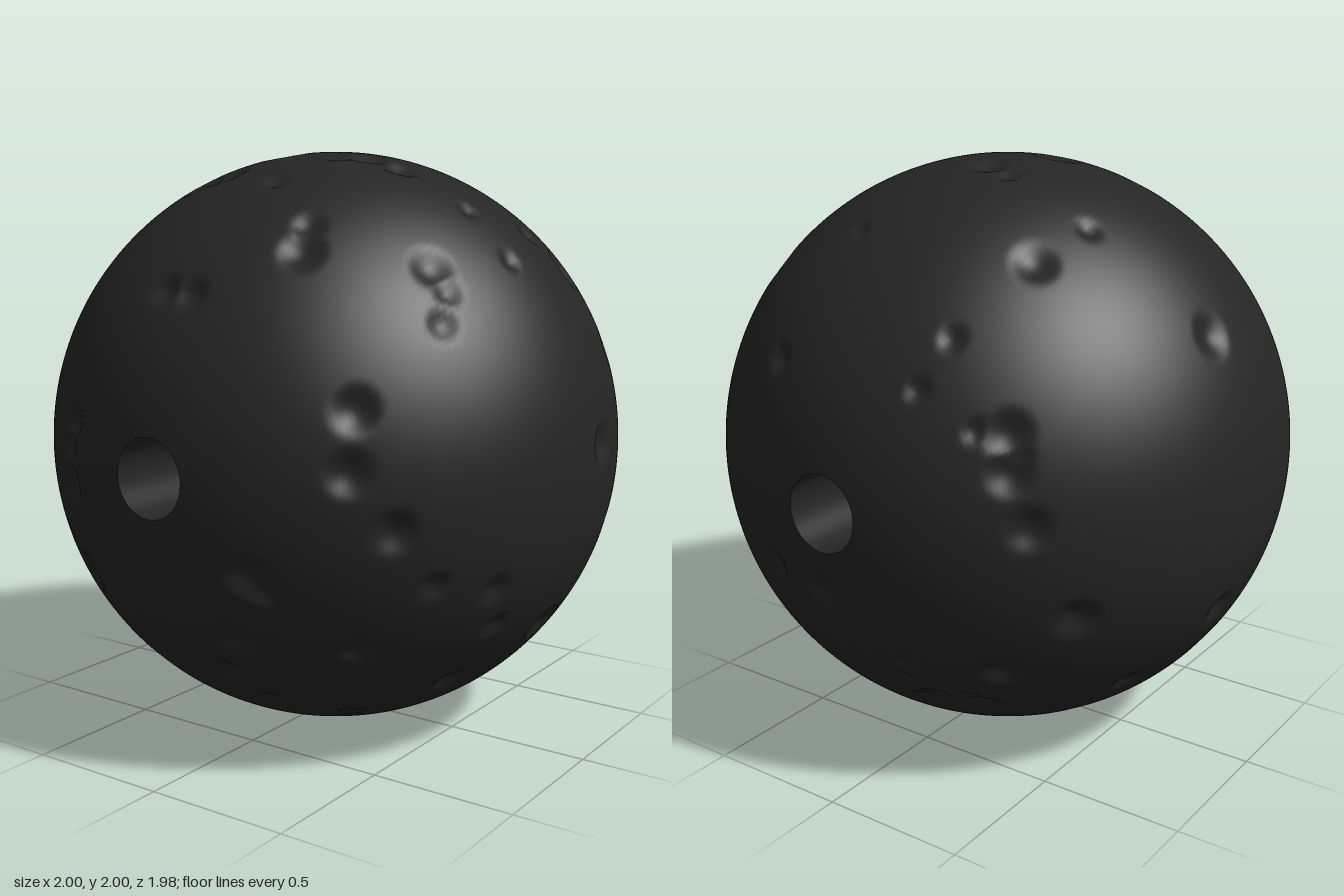
import * as THREE from 'three';
import { mergeVertices } from 'three/addons/utils/BufferGeometryUtils.js';

const BORE = 0.127;

// Main dents, laid out on a disc facing one direction: [across, up]
const mainDents = [
  { azimuth: 0, elevation: 0, spots: [ // front
    [0.33, 0.68], [0.65, 0.63], [0.6, 0.23], [0.6, 0.05], [-0.41, 0.13], [-0.43, -0.08],
    [0.31, -0.28], [0.7, -0.13], [-0.45, -0.4], [0.2, -0.52], [0.08, -0.66], [-0.32, -0.76]] },
  { azimuth: 90, elevation: 0, spots: [ // +x side
    [0.1, 0.05], [0.5, 0.02], [0.28, 0.6], [0.45, 0.62], [0.58, -0.28], [0.03, -0.57], [-0.25, -0.73]] },
  { azimuth: 0, elevation: 90, spots: [ // top
    [-0.3, -0.35], [-0.2, -0.35], [-0.13, -0.1], [0.2, -0.1], [0.33, -0.1], [-0.05, 0.18]] },
  { azimuth: 215, elevation: 24, spots: [ // back, -x side
    [0, -0.12], [0, -0.23], [0.06, -0.39], [0.63, 0.22], [0.21, -0.65], [-0.02, -0.82], [0.08, 0.41]] },
  { azimuth: 145, elevation: -24, spots: [ // underside, back
    [0.3, 0.14], [0.51, 0.08], [0, -0.43], [-0.19, -0.63], [0.62, -0.53]] },
];

// Small seeded generator, 0 to 1
function seededRandom(seed) {
  return () => {
    seed = (seed * 16807) % 2147483647;
    return seed / 2147483647;
  };
}

// Dents as points on the unit sphere: the main ones, then smaller ones scattered between
function dentList() {
  const dents = mainDents.flatMap(({ azimuth, elevation, spots }) => {
    const turn = new THREE.Euler(
      -THREE.MathUtils.degToRad(elevation), THREE.MathUtils.degToRad(azimuth), 0, 'YXZ');
    return spots.map(([x, y]) => ({
      centre: new THREE.Vector3(x, y, Math.sqrt(1 - x * x - y * y)).applyEuler(turn),
      radius: 0.09,
    }));
  });
  const random = seededRandom(4217);
  for (let i = 0; i < 55; i++) {
    const z = 1.8 * random() - 0.9;
    const angle = 2 * Math.PI * random();
    const r = Math.sqrt(1 - z * z);
    dents.push({
      centre: new THREE.Vector3(r * Math.cos(angle), r * Math.sin(angle), z),
      radius: 0.045 + 0.03 * random(),
    });
  }
  return dents;
}

// Sphere around the z axis, open at both ends of the bore, pressed in at each dent
function dentedShell() {
  const start = Math.asin(BORE);
  const rings = 170;
  const profile = [];
  for (let i = 0; i <= rings; i++) {
    const a = start + (Math.PI - 2 * start) * i / rings;
    profile.push(new THREE.Vector2(Math.sin(a), -Math.cos(a)));
  }
  let geometry = new THREE.LatheGeometry(profile, 320).rotateX(Math.PI / 2);
  geometry.deleteAttribute('uv');
  geometry.deleteAttribute('normal');
  geometry = mergeVertices(geometry, 1e-4);

  const dents = dentList();
  const position = geometry.attributes.position;
  const p = new THREE.Vector3();
  for (let i = 0; i < position.count; i++) {
    p.fromBufferAttribute(position, i);
    let depth = 0;
    for (const { centre, radius } of dents) {
      const t = p.distanceToSquared(centre) / (radius * radius);
      if (t < 1) depth = Math.max(depth, 0.3 * radius * (1 - t) ** 2);
    }
    p.multiplyScalar(1 - depth);
    position.setXYZ(i, p.x, p.y, p.z);
  }
  geometry.computeVertexNormals();
  return geometry;
}

export function createModel() {
  const model = new THREE.Group();
  model.name = 'boredSphere';
  const charcoal = new THREE.MeshStandardMaterial({ color: 0x252525 });
  charcoal.name = 'charcoal';

  const shell = new THREE.Mesh(dentedShell(), charcoal);
  shell.name = 'dentedShell';

  // Inner wall of the through hole, facing its axis
  const half = Math.sqrt(1 - BORE * BORE);
  const wall = new THREE.LatheGeometry(
    [new THREE.Vector2(BORE, half), new THREE.Vector2(BORE, -half)], 320).rotateX(Math.PI / 2);
  const bore = new THREE.Mesh(wall, charcoal);
  bore.name = 'boreWall';

  shell.position.y = bore.position.y = 1;
  model.add(shell, bore);
  return model;
}
